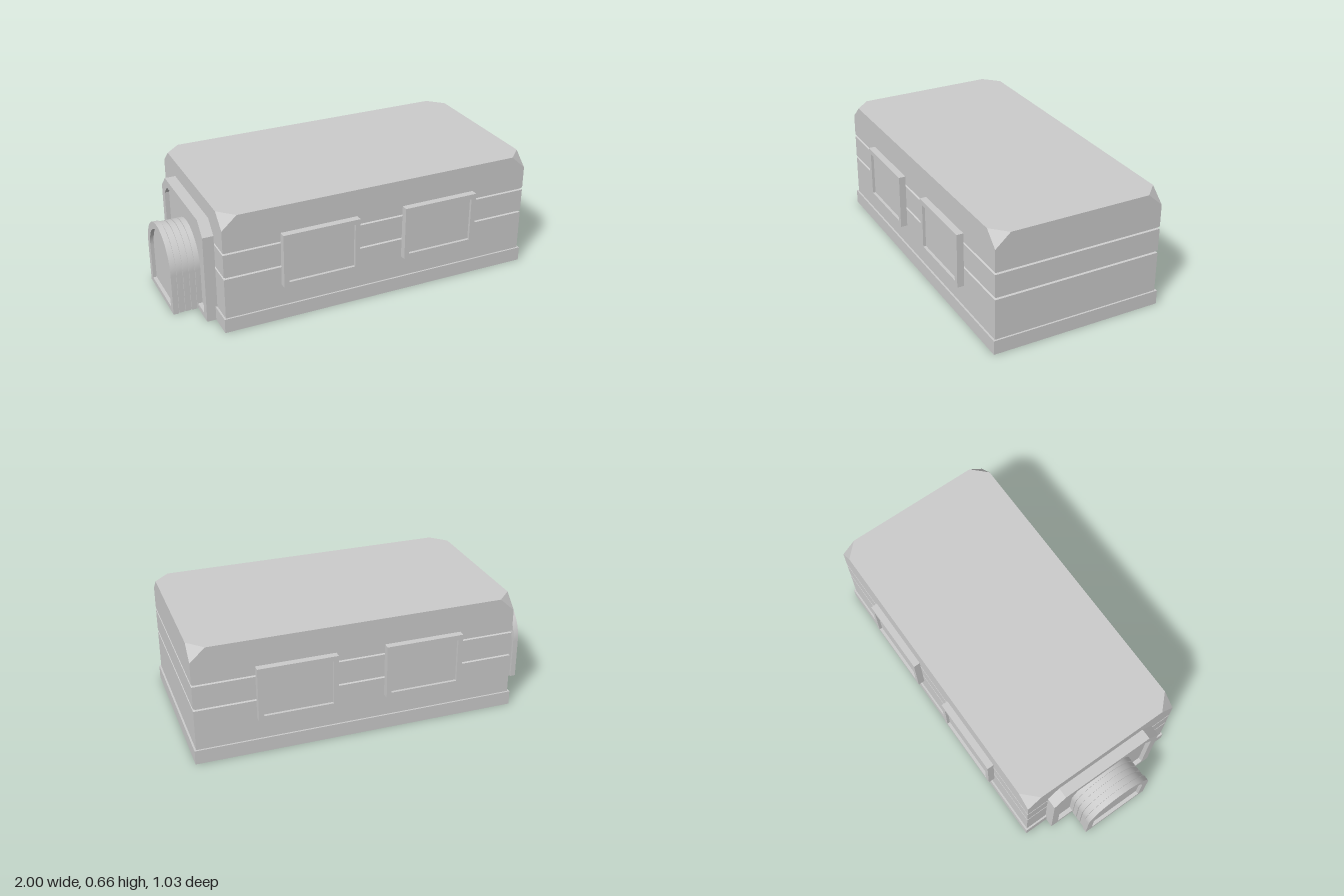
import * as THREE from 'three';
import { toCreasedNormals } from 'three/addons/utils/BufferGeometryUtils.js';

const mat = new THREE.MeshStandardMaterial({ color: 0xcccccc, side: THREE.DoubleSide });
const CX = 0.093, HX = 0.893, HZ = 0.475; // body centre and half sizes

function add(parent, geometry, name, x = 0, y = 0, z = 0) {
  const mesh = new THREE.Mesh(geometry, mat);
  mesh.name = name;
  mesh.position.set(x, y, z);
  parent.add(mesh);
  return mesh;
}

// Open-bottomed shell: stacked rectangles, then a roof with four clipped corners
function shellGeometry() {
  const profile = [ // [outward offset, height]
    [0.01, 0], [0.01, 0.08], [0, 0.08],
    [0, 0.309], [-0.01, 0.313], [-0.01, 0.319], [0, 0.323],
    [0, 0.45], [-0.01, 0.454], [-0.01, 0.459], [0, 0.463], [0, 0.588]];
  const signs = [[-1, 1], [1, 1], [1, -1], [-1, -1]];
  const rings = profile.map(([o, y]) => signs.map(([sx, sz]) => [CX + sx * (HX + o), y, sz * (HZ + o)]));
  const pos = [];
  const tri = (a, b, c) => pos.push(...a, ...b, ...c);
  const quad = (a, b, c, d) => { tri(a, b, c); tri(a, c, d); };
  for (let r = 0; r < rings.length - 1; r++)
    for (let i = 0; i < 4; i++) {
      const j = (i + 1) % 4;
      quad(rings[r][i], rings[r][j], rings[r + 1][j], rings[r + 1][i]);
    }

  // Each corner splits into two roof points, ordered around the roof
  const cut = 0.083, top = 0.663, base = rings[rings.length - 1];
  const roof = signs.flatMap(([sx, sz]) => {
    const onEnd = [CX + sx * HX, top, sz * (HZ - cut)];
    const onSide = [CX + sx * (HX - cut), top, sz * HZ];
    return sx * sz < 0 ? [onEnd, onSide] : [onSide, onEnd];
  }).map((p) => p);
  // Sort by angle so the outline is always counter-clockwise from above
  roof.sort((a, b) => Math.atan2(-a[2], a[0] - CX) - Math.atan2(-b[2], b[0] - CX));
  for (let i = 1; i < 7; i++) tri(roof[0], roof[i], roof[i + 1]);

  const near = (corner) => roof.filter((p) =>
    (p[0] - CX) * (corner[0] - CX) > 0 && p[2] * corner[2] > 0);
  for (let i = 0; i < 4; i++) {
    const a = base[i], b = base[(i + 1) % 4];
    const axis = i % 2 ? 0 : 2; // coordinate shared by this wall
    const onWall = (c) => near(c).find((p) => Math.abs(p[axis] - c[axis]) < 1e-6);
    quad(a, b, onWall(b), onWall(a));
    tri(a, near(a)[0], near(a)[1]);
    // keep the clipped corner facing outwards
    const k = pos.length - 9;
    const v = [0, 3, 6].map((o) => new THREE.Vector3(...pos.slice(k + o, k + o + 3)));
    const n = v[1].clone().sub(v[0]).cross(v[2].clone().sub(v[0]));
    if (n.y < 0) {
      pos.length = k;
      tri(a, near(a)[1], near(a)[0]);
    }
  }
  const g = new THREE.BufferGeometry();
  g.setAttribute('position', new THREE.Float32BufferAttribute(pos, 3));
  g.computeVertexNormals();
  return g;
}

const poly = (pts) => new THREE.Shape(pts.map(([x, y]) => new THREE.Vector2(x, y)));
const rect = (w, h) => poly([[-w, -h], [w, -h], [w, h], [-w, h]]);
const clipped = (w, y0, h, c) => poly([[-w, y0], [w, y0], [w, h - c], [w - c, h], [c - w, h], [-w, h - c]]);

function arch(r, y0, spring = 0.235) {
  const s = new THREE.Shape();
  s.moveTo(-r, y0);
  s.lineTo(r, y0);
  s.lineTo(r, spring);
  s.absarc(0, spring, r, 0, Math.PI, false);
  s.lineTo(-r, y0);
  return s;
}

// Arch band open at the ground
function archBand(r, inner, spring = 0.235) {
  const s = new THREE.Shape();
  s.moveTo(inner, 0);
  s.lineTo(r, 0);
  s.lineTo(r, spring);
  s.absarc(0, spring, r, 0, Math.PI, false);
  s.lineTo(-r, 0);
  s.lineTo(-inner, 0);
  s.lineTo(-inner, spring);
  s.absarc(0, spring, inner, Math.PI, 0, true);
  s.lineTo(inner, 0);
  return s;
}

function extrude(shape, depth, hole) {
  if (hole) shape.holes.push(hole);
  return toCreasedNormals(new THREE.ExtrudeGeometry(shape, { depth, bevelEnabled: false, curveSegments: 20 }), 0.5);
}
// Extrusion running from x0 towards -x
const toEnd = (shape, depth, hole) => extrude(shape, depth, hole).rotateY(-Math.PI / 2);

export function createModel() {
  const model = new THREE.Group();
  model.name = 'shelter';
  add(model, shellGeometry(), 'bodyShell');

  // Framed windows, two on each long side
  for (const side of [1, -1])
    for (const x of [-0.268, 0.438]) {
      const win = new THREE.Group();
      win.name = 'window';
      add(win, extrude(rect(0.218, 0.153), 0.038, rect(0.19, 0.125)), 'windowFrame');
      add(win, new THREE.BoxGeometry(0.38, 0.25, 0.022), 'windowPane', 0, 0, 0.011);
      win.position.set(x, 0.357, side * HZ);
      if (side < 0) win.rotation.y = Math.PI;
      model.add(win);
    }

  // Entrance at the -x end: clipped surround, ribbed tunnel, recessed door
  const entrance = new THREE.Group();
  entrance.name = 'entrance';
  model.add(entrance);
  add(entrance, toEnd(clipped(0.345, 0, 0.57, 0.07), 0.06, clipped(0.3, 0.03, 0.525, 0.055)), 'surroundFrame', -0.8);
  add(entrance, toEnd(clipped(0.3, 0.03, 0.525, 0.055), 0.035), 'surroundPanel', -0.8);
  add(entrance, toEnd(archBand(0.192, 0.165), 0.14), 'tunnelCore', -0.83);
  for (const x of [-0.835, -0.868, -0.902, -0.937])
    add(entrance, toEnd(archBand(0.199, 0.17), 0.029), 'tunnelRib', x);
  add(entrance, toEnd(arch(0.205, 0), 0.03, arch(0.165, 0.03)), 'tunnelRim', -0.97);
  add(entrance, toEnd(arch(0.168, 0.02), 0.01), 'door', -0.97);
  return model;
}
